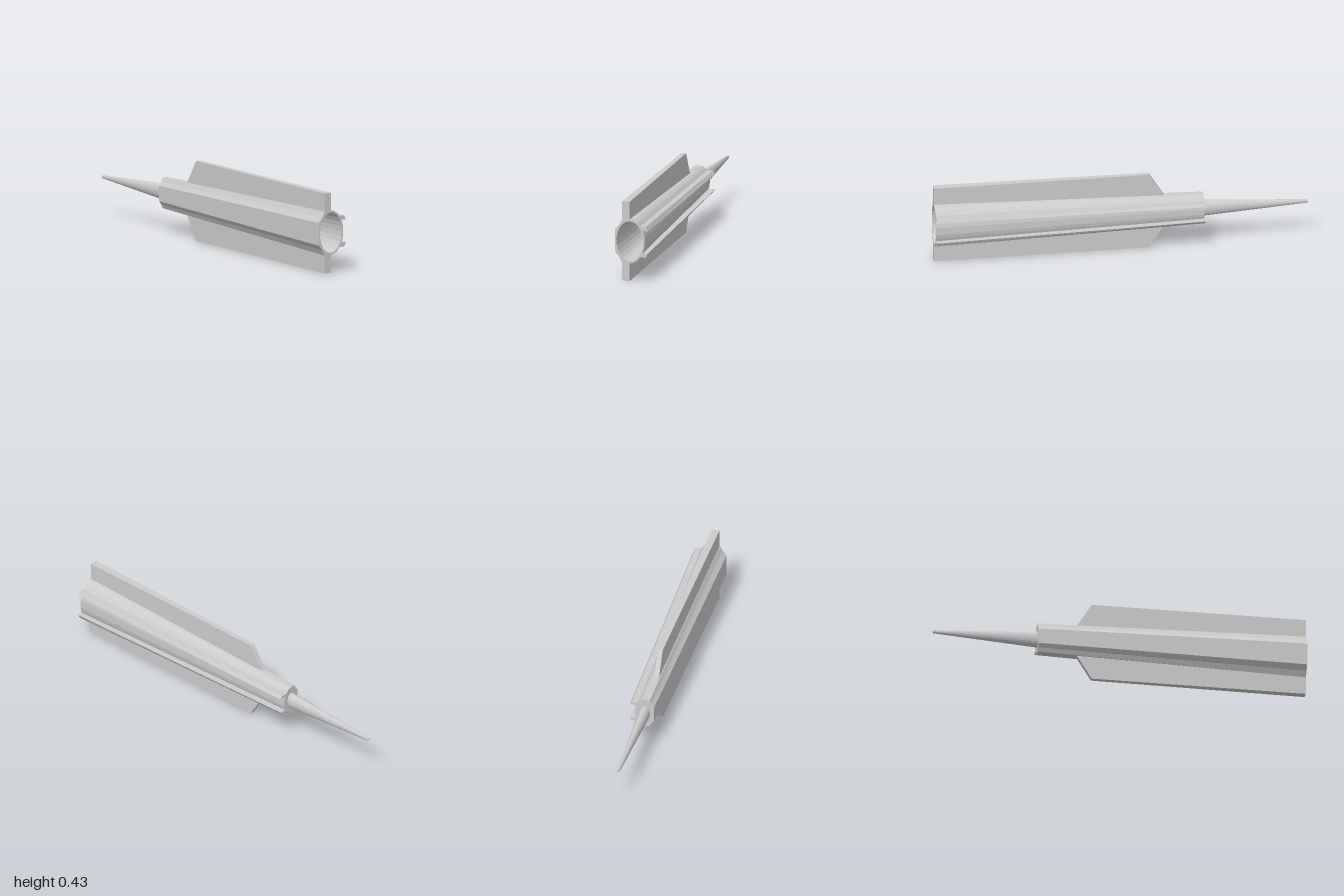
import * as THREE from 'three';

const X0 = -0.44, X1 = 1;          // sleeve start and end
const CY = 0.2155, CZ = 0.0105;    // centre line of the bore
const SEGS = 24;

// Upper half of the sleeve section at the wide end: [z, y, belongsToRail]
const HALF = [
  [0.0805, 0.061], [0.0575, 0.089], [0.0415, 0.119], [0, 0.1205],
  [-0.02, 0.116], [-0.04, 0.104], [-0.058, 0.084],
  [-0.0875, 0.084, 1], [-0.0995, 0.061, 1],
  [-0.0705, 0.061], [-0.077, 0.042], [-0.081, 0.02],
];

// Section outline at the wide end (t = 1) or the narrow end (t = 0)
function section(t) {
  const sz = 0.64 + 0.36 * t, sy = 0.69 + 0.31 * t;
  const top = HALF.map(([z, y, rail]) =>
    new THREE.Vector2(rail ? z + 0.018 * (1 - t) : z * sz, y * sy));
  const bottom = top.map((p) => new THREE.Vector2(p.x, -p.y)).reverse();
  return [...top, ...bottom];
}

// Side walls joining the two sections
function wallGeometry() {
  const a = section(0), b = section(1), pos = [];
  a.forEach((p, i) => {
    const j = (i + 1) % a.length;
    const s = [X0, p.y, p.x], sn = [X0, a[j].y, a[j].x];
    const e = [X1, b[i].y, b[i].x], en = [X1, b[j].y, b[j].x];
    pos.push(...s, ...e, ...en, ...s, ...en, ...sn);
  });
  const g = new THREE.BufferGeometry();
  g.setAttribute('position', new THREE.Float32BufferAttribute(pos, 3));
  g.computeVertexNormals();
  return g;
}

// End face with an oval hole
function capGeometry(t, rz, ry) {
  const shape = new THREE.Shape(section(t));
  const hole = new THREE.Path();
  hole.absellipse(0, 0, rz, ry, 0, Math.PI * 2, true);
  shape.holes.push(hole);
  return new THREE.ShapeGeometry(shape, SEGS / 2)
    .rotateY(-Math.PI / 2).translate(t ? X1 : X0, 0, 0);
}

// Fin plate that thickens toward the wide end
function finGeometry() {
  const shape = new THREE.Shape([
    [-0.238, 0.075], [1, 0.112], [1, CY], [-0.15, CY],
  ].map(([x, y]) => new THREE.Vector2(x, y)));
  const g = new THREE.ExtrudeGeometry(shape, { depth: 1, bevelEnabled: false });
  const p = g.attributes.position;
  for (let i = 0; i < p.count; i++) p.setZ(i, p.getZ(i) * (0.0275 + 0.014 * p.getX(i)));
  g.computeVertexNormals();
  return g;
}

export function createModel() {
  const root = new THREE.Group();
  root.name = 'finnedNozzle';
  root.position.set(0, CY, CZ);
  const model = new THREE.Group();
  model.add(root);

  const solid = new THREE.MeshStandardMaterial({ color: 0xcccccc, flatShading: true });
  const thin = new THREE.MeshStandardMaterial({
    color: 0xcccccc, flatShading: true, side: THREE.DoubleSide,
  });
  const add = (name, geometry, material) => {
    const mesh = new THREE.Mesh(geometry, material);
    mesh.name = name;
    root.add(mesh);
    return mesh;
  };

  // Tapered sleeve with its two back rails
  add('sleeve', wallGeometry(), solid);
  add('sleeveFrontFace', capGeometry(0, 0.0228, 0.034), thin);
  add('sleeveRearFace', capGeometry(1, 0.073, 0.109), thin);

  // Hollow nose cone and the bore, oval in section
  const profile = [[0.045, 0.44], [0.0095, 1], [0.008, 1], [0.034, 0.44], [0.109, -1]]
    .map(([r, h]) => new THREE.Vector2(r, h));
  const cone = new THREE.LatheGeometry(profile, SEGS)
    .rotateZ(Math.PI / 2).scale(1, 1, 0.67);
  add('noseAndBore', cone, thin);

  // Upper and lower fins
  const fin = finGeometry();
  add('upperFin', fin, solid);
  add('lowerFin', fin, solid).scale.y = -1;

  return model;
}
